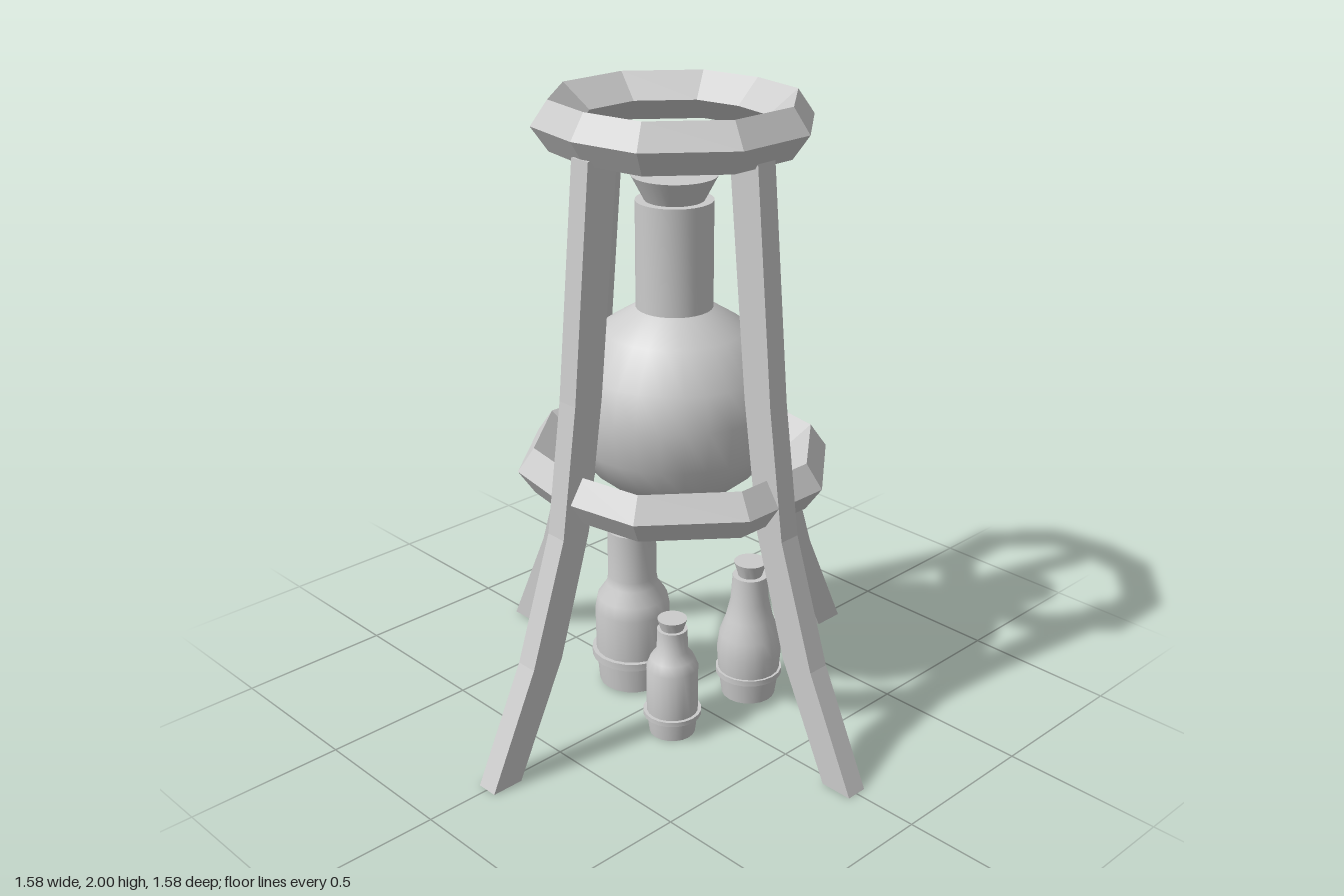
import * as THREE from 'three';
import { toCreasedNormals } from 'three/addons/utils/BufferGeometryUtils.js';

const smooth = () => new THREE.MeshStandardMaterial({ color: 0xcccccc });
const faceted = () => new THREE.MeshStandardMaterial({ color: 0xcccccc, flatShading: true });

function add(parent, name, geometry, material) {
  const mesh = new THREE.Mesh(geometry, material);
  mesh.name = name;
  parent.add(mesh);
  return mesh;
}

// Turned solid from [radius, height] pairs, bottom to top
function turned(profile, segments = 24) {
  const points = profile.map(([r, y]) => new THREE.Vector2(r, y));
  return toCreasedNormals(new THREE.LatheGeometry(points, segments), 0.7);
}

// Ten-sided ring with a diamond cross-section
function ringGeometry(outer, edge, inner, y, halfHeight) {
  const quarter = [[0.98, 0], [0.88, 0.55], [0.33, 1]];
  const half = [...quarter, ...quarter.slice(1).reverse().map(([x, z]) => [-x, z])];
  const outline = [...half, ...half.map(([x, z]) => [-x, -z])];
  const section = [[outer, y], [edge, y + halfHeight], [inner, y], [edge, y - halfHeight]];
  const positions = [];
  const index = [];
  for (const [x, z] of outline) {
    for (const [r, h] of section) positions.push(x * r, h, z * r);
  }
  const n = outline.length;
  for (let i = 0; i < n; i++) {
    for (let j = 0; j < 4; j++) {
      const a = i * 4 + j;
      const b = i * 4 + (j + 1) % 4;
      const c = ((i + 1) % n) * 4 + (j + 1) % 4;
      const d = ((i + 1) % n) * 4 + j;
      index.push(a, b, c, a, c, d);
    }
  }
  const geometry = new THREE.BufferGeometry();
  geometry.setAttribute('position', new THREE.Float32BufferAttribute(positions, 3));
  geometry.setIndex(index);
  geometry.computeVertexNormals();
  return geometry;
}

// Curved leg: side outline given thickness
function legGeometry() {
  const outside = [[0.79, 0], [0.62, 0.36], [0.49, 0.75], [0.432, 1.16], [0.365, 1.87]];
  const inside = [[0.257, 1.87], [0.33, 1.16], [0.39, 0.75], [0.51, 0.36], [0.685, 0]];
  const shape = new THREE.Shape([...outside, ...inside].map(([x, y]) => new THREE.Vector2(x, y)));
  const geometry = new THREE.ExtrudeGeometry(shape, { depth: 0.07, bevelEnabled: false });
  return geometry.translate(0, 0, -0.035);
}

// Bottle with a raised band and a flared stopper
function bottle(name, x, z, body, band, stopper) {
  const group = new THREE.Group();
  group.name = name;
  group.position.set(x, 0, z);
  const neck = body[body.length - 1];
  add(group, 'bottleBody', turned([[0, body[0][1]], ...body, [0, neck[1]]], 20), smooth());
  const [bandRadius, low, high] = band;
  add(group, 'bottleBand', turned([[0, low], [bandRadius, low], [bandRadius, high], [0, high]], 20), smooth());
  const [r0, r1, top] = stopper;
  add(group, 'bottleStopper', turned([[0, neck[1] - 0.005], [r0, neck[1] - 0.005], [r1, top], [0, top]], 20), smooth());
  return group;
}

export function createModel() {
  const model = new THREE.Group();
  model.name = 'flaskStand';

  // Stand
  add(model, 'topRing', ringGeometry(0.405, 0.355, 0.27, 1.925, 0.075), faceted());
  add(model, 'lowerRing', ringGeometry(0.475, 0.425, 0.34, 0.855, 0.075), faceted());
  const leg = legGeometry();
  for (let i = 0; i < 4; i++) {
    add(model, 'leg', leg, faceted()).rotation.y = i * Math.PI / 2;
  }

  // Large round flask
  const flask = new THREE.Group();
  flask.name = 'roundFlask';
  model.add(flask);
  add(flask, 'flaskBody', turned([
    [0, 0.725], [0.175, 0.775], [0.265, 0.85], [0.31, 0.94], [0.328, 1.07],
    [0.303, 1.18], [0.22, 1.295], [0.118, 1.36], [0.118, 1.69], [0, 1.69],
  ], 28), smooth());
  add(flask, 'flaskStopper', turned([[0, 1.68], [0.085, 1.68], [0.13, 1.765], [0, 1.765]], 28), smooth());

  // Three small bottles on the floor
  model.add(bottle('smallBottle', -0.155, 0.15, [
    [0.073, 0], [0.082, 0.07], [0.083, 0.235], [0.07, 0.268], [0.05, 0.295], [0.048, 0.37],
  ], [0.093, 0.065, 0.08], [0.035, 0.047, 0.405]));
  model.add(bottle('mediumBottle', 0.188, 0.158, [
    [0.088, 0], [0.1, 0.085], [0.106, 0.165], [0.098, 0.225], [0.077, 0.285], [0.063, 0.345], [0.057, 0.435],
  ], [0.109, 0.078, 0.097], [0.037, 0.053, 0.483]));
  model.add(bottle('tallBottle', -0.035, -0.164, [
    [0.112, 0.01], [0.122, 0.12], [0.124, 0.28], [0.115, 0.325], [0.085, 0.37], [0.08, 0.4], [0.08, 0.565],
  ], [0.136, 0.105, 0.13], [0.055, 0.073, 0.62]));

  return model;
}
